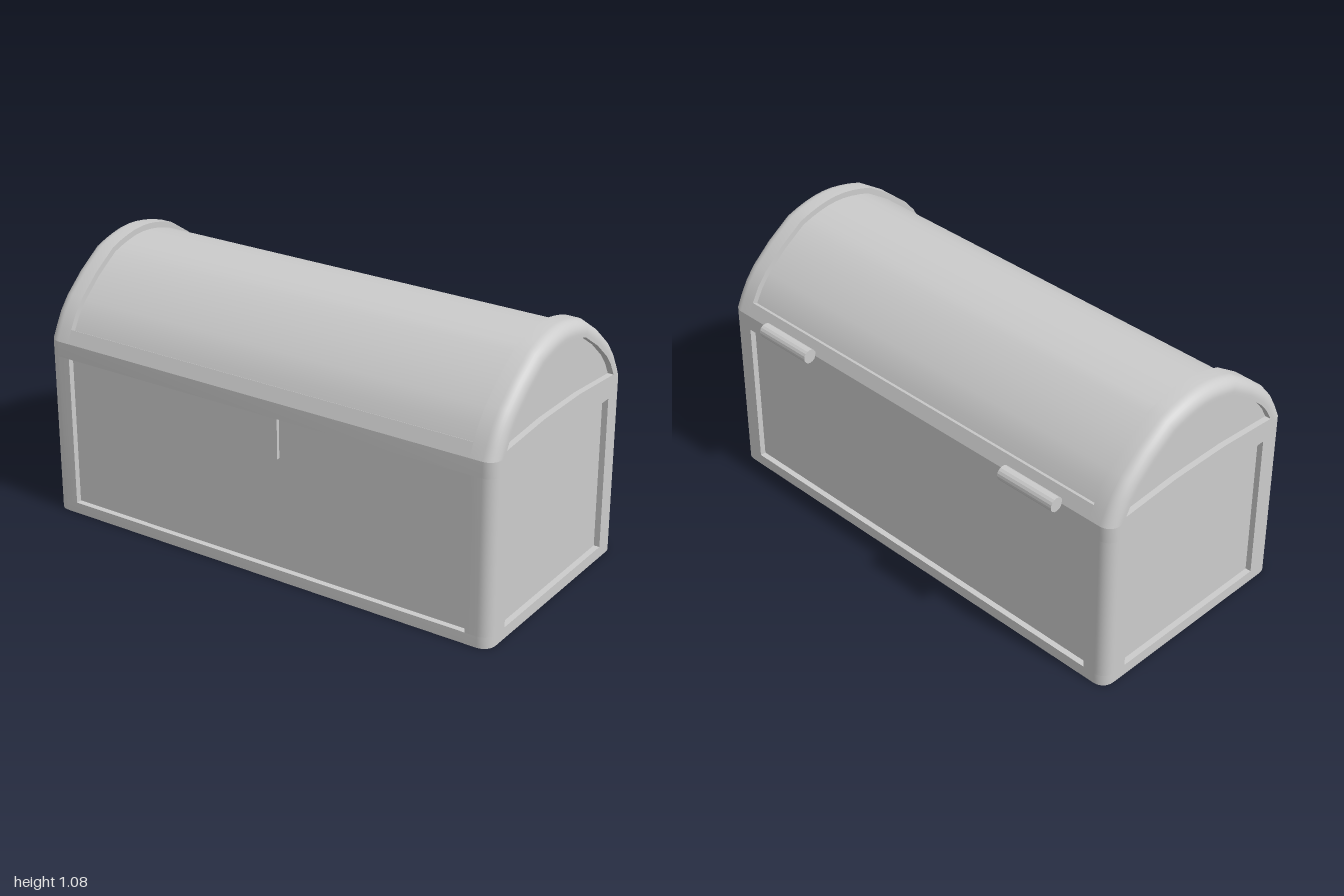
import * as THREE from 'three';
import { toCreasedNormals } from 'three/addons/utils/BufferGeometryUtils.js';

const material = new THREE.MeshStandardMaterial({ color: 0xcccccc });
const flatMaterial = new THREE.MeshStandardMaterial({ color: 0xcccccc, flatShading: true });

const Z0 = 0.025;       // depth centre of the chest
const W = 1, D = 0.475; // half width and half depth
const SEAM = 0.731;     // height where lid meets body
const R = 0.05;         // corner rounding
const RECESS = 0.024;   // depth of the sunken panels
const POST_X = 0.9, POST_Z = 0.364;

// Half arch of the lid as (z, y), from the seam up to the crown
const half = [[0.475, SEAM], [0.452, 0.783], [0.42, 0.84], [0.376, 0.894], [0.29, 0.969],
  [0.184, 1.04], [0.135, 1.056], [0.09, 1.067], [0.045, 1.0745], [0, 1.077]];
const arch = [...half, ...half.slice(0, -1).reverse().map(([z, y]) => [-z, y])];

// Outward normal at each arch point, level at the two feet
const normals = arch.map((p, i) => {
  if (i === 0) return [1, 0];
  if (i === arch.length - 1) return [-1, 0];
  const [a, b] = [arch[i - 1], arch[i + 1]];
  const dz = b[0] - a[0], dy = b[1] - a[1], l = Math.hypot(dz, dy);
  return [dy / l, -dz / l];
});
const inset = (i, d) => [arch[i][0] - normals[i][0] * d, arch[i][1] - normals[i][1] * d];

function addMesh(parent, name, geometry, mat = material) {
  const mesh = new THREE.Mesh(geometry, mat);
  mesh.name = name;
  parent.add(mesh);
  return mesh;
}

function extrude(points, depth) {
  const shape = new THREE.Shape(points.map(([x, y]) => new THREE.Vector2(x, y)));
  return new THREE.ExtrudeGeometry(shape, { depth, bevelEnabled: false });
}

// Plan outline (x, z) extruded upwards between two heights
function extrudeUp(points, y0, y1) {
  const g = extrude(points.map(([x, z]) => [x, -z]), y1 - y0);
  g.rotateX(-Math.PI / 2).translate(0, y0, 0);
  return toCreasedNormals(g, 0.6);
}

// Side outline (z, y) extruded across between two x positions
function extrudeAcross(points, x0, x1) {
  const g = extrude(points.map(([z, y]) => [-z, y]), x1 - x0);
  g.rotateY(Math.PI / 2).translate(x0, 0, 0);
  return toCreasedNormals(g, 0.6);
}

// Rounded corner of the plan in the quadrant given by the signs
function corner(sx, sz) {
  return Array.from({ length: 9 }, (_, i) => {
    const a = (i / 8) * Math.PI / 2;
    return [sx * (W - R + R * Math.cos(a)), sz * (D - R + R * Math.sin(a))];
  });
}

// Rounded arch over one end of the lid: a section swept along the arch
function archRim(s) {
  const section = [[POST_X, 0.035], [POST_X, 0]];
  for (let k = 0; k <= 8; k++) {
    const a = (k / 8) * Math.PI / 2;
    section.push([W - R + R * Math.sin(a), R * (1 - Math.cos(a))]);
  }
  section.push([W, 0.063], [W - RECESS - 0.01, 0.063]);
  const pos = [], index = [], n = section.length;
  arch.forEach((_, i) => section.forEach(([x, d]) => {
    const [z, y] = inset(i, d);
    pos.push(s * x, y, z);
  }));
  for (let i = 0; i < arch.length - 1; i++) {
    for (let j = 0; j < n - 1; j++) {
      const a = i * n + j, b = a + 1, c = b + n, d = a + n;
      if (s > 0) index.push(a, b, c, a, c, d);
      else index.push(a, c, b, a, d, c);
    }
  }
  const g = new THREE.BufferGeometry();
  g.setAttribute('position', new THREE.Float32BufferAttribute(pos, 3));
  g.setIndex(index);
  return toCreasedNormals(g, 0.6);
}

function createBody() {
  const body = new THREE.Group();
  body.name = 'body';

  // Sunken panels are the faces of an inner block
  const panels = new THREE.BoxGeometry(2 * (W - RECESS), SEAM - 0.02, 2 * (D - RECESS));
  addMesh(body, 'bodyPanels', panels).position.y = SEAM / 2;

  // Bottom and top rails with rounded corners
  const plan = [...corner(1, 1), ...corner(-1, 1).reverse(), ...corner(-1, -1), ...corner(1, -1).reverse()];
  addMesh(body, 'bottomRail', extrudeUp(plan, 0, 0.046));
  addMesh(body, 'topRail', extrudeUp(plan, 0.668, SEAM));

  // Corner posts
  for (const sx of [-1, 1]) for (const sz of [-1, 1]) {
    const outline = [[sx * POST_X, sz * POST_Z], [sx * W, sz * POST_Z], ...corner(sx, sz), [sx * POST_X, sz * D]];
    addMesh(body, 'cornerPost', extrudeUp(outline, 0.046, 0.668));
  }

  // Latch plate
  addMesh(body, 'latch', new THREE.BoxGeometry(0.166, 0.17, 0.04)).position.set(0, 0.585, D - 0.03);
  return body;
}

function createLid() {
  const lid = new THREE.Group();
  lid.name = 'lid';

  // Arched panel and sunken end panels
  const inner = arch.map((_, i) => inset(i, RECESS));
  addMesh(lid, 'lidPanel', extrudeAcross(inner, -W + RECESS, W - RECESS));

  // Long rails along the front and back foot of the arch
  const last = arch.length - 1;
  for (const [foot, next, name] of [[0, 1, 'frontLidRail'], [last, last - 1, 'backLidRail']]) {
    const outline = [arch[foot], arch[next], inset(next, 0.035), inset(foot, 0.035)];
    addMesh(lid, name, extrudeAcross(outline, -POST_X, POST_X));
  }

  // Arched rims and the low rails between their feet
  const rail = [[0.415, SEAM], [0.402, 0.754], [0.13, 0.773], [-0.13, 0.773], [-0.402, 0.754], [-0.415, SEAM]];
  for (const s of [-1, 1]) {
    addMesh(lid, 'lidRim', archRim(s));
    addMesh(lid, 'endLidRail', extrudeAcross(rail, s > 0 ? POST_X : -W, s > 0 ? W : -POST_X));
  }
  return lid;
}

export function createModel() {
  const chest = new THREE.Group();
  chest.name = 'chest';
  const body = createBody(), lid = createLid();
  body.position.z = lid.position.z = Z0;
  chest.add(body, lid);

  // Hinge barrels on the back
  const barrel = new THREE.CylinderGeometry(0.029, 0.029, 0.26, 16).rotateZ(Math.PI / 2);
  for (const s of [-1, 1]) addMesh(chest, 'hinge', barrel, flatMaterial).position.set(s * 0.642, 0.739, -0.474);
  return chest;
}
